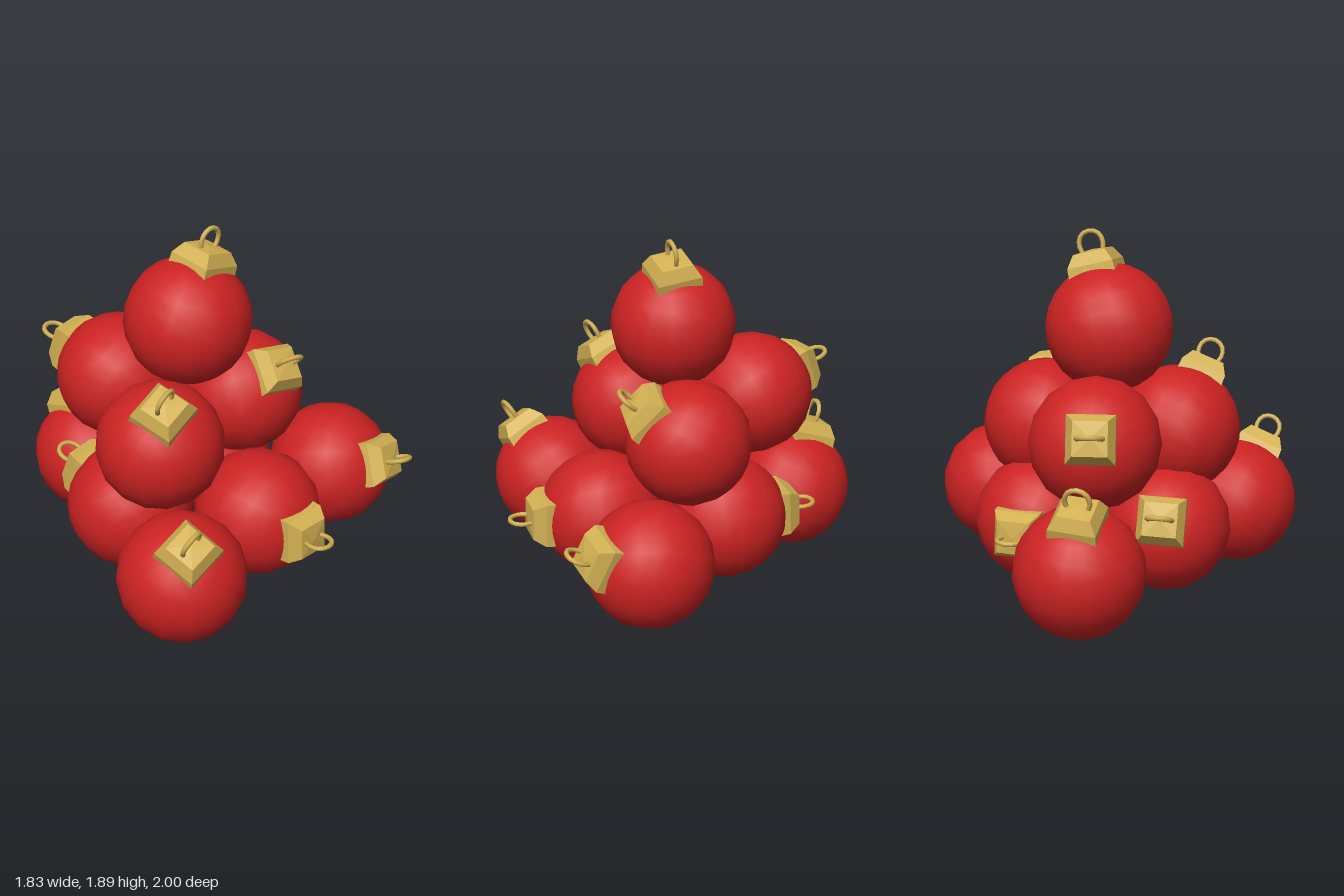
import * as THREE from 'three';

const red = new THREE.MeshStandardMaterial({ color: 0xcc2222 });
red.name = 'ornament red';
const gold = new THREE.MeshStandardMaterial({ color: 0xd2b052 });
gold.name = 'cap gold';

// Square cap: stacked square rings [half width, height], closed on top
function capGeometry() {
  const rings = [[0.124, 0.24], [0.12, 0.335], [0.085, 0.398]];
  const corners = [[1, 1], [1, -1], [-1, -1], [-1, 1]];
  const at = (r, c) => {
    const [h, y] = rings[r], [sx, sz] = corners[c % 4];
    return [sx * h, y, sz * h];
  };
  const pos = [];
  for (let r = 0; r < rings.length - 1; r++) {
    for (let c = 0; c < 4; c++) {
      const a = at(r, c), b = at(r, c + 1), d = at(r + 1, c), e = at(r + 1, c + 1);
      pos.push(...a, ...b, ...e, ...a, ...e, ...d);
    }
  }
  const top = [0, 0.408, 0], last = rings.length - 1;
  for (let c = 0; c < 4; c++) pos.push(...at(last, c), ...at(last, c + 1), ...top);
  const geo = new THREE.BufferGeometry();
  geo.setAttribute('position', new THREE.Float32BufferAttribute(pos, 3));
  geo.computeVertexNormals();
  return geo;
}

// Hanging loop: a thin arch standing on the cap
function loopGeometry() {
  const path = new THREE.CatmullRomCurve3([
    [-0.05, 0.38], [-0.063, 0.445], [-0.042, 0.488], [0, 0.503],
    [0.042, 0.488], [0.063, 0.445], [0.05, 0.38],
  ].map(([x, y]) => new THREE.Vector3(x, y, 0)));
  return new THREE.TubeGeometry(path, 12, 0.013, 6, false);
}

// Each ornament: centre, cap direction, sideways direction of the loop
const ORNAMENTS = [
  // top
  [[-0.205, 1.4, -0.005], [0.145, 0.5, 0.01], [0.93, -0.25, -0.37]],
  // middle layer
  [[-0.48, 0.855, 0.22], [-0.08, 0.43, 0.245], [0.85, 0.3, -0.42]],
  [[0.14, 0.865, -0.08], [0.14, 0.335, 0.36], [1, 0, 0]],
  [[-0.41, 0.925, -0.44], [-0.24, 0.165, -0.41], [0.86, 0, -0.5]],
  // bottom layer
  [[-0.585, 0.358, 0.67], [-0.075, 0.42, 0.28], [0.87, 0.3, -0.35]],
  [[-0.005, 0.405, 0.385], [0.15, 0.015, 0.475], [1, 0, -0.3]],
  [[0.588, 0.39, 0.125], [0.245, 0.175, 0.41], [0.87, -0.2, -0.42]],
  [[-0.56, 0.395, 0], [-0.21, 0.2, -0.42], [0.87, 0.05, -0.45]],
  [[0.05, 0.4, -0.275], [-0.14, 0.02, -0.49], [1, 0, -0.28]],
  [[-0.475, 0.333, -0.67], [-0.09, 0.485, -0.15], [0.92, 0.08, -0.33]],
];

export function createModel() {
  const model = new THREE.Group();
  model.name = 'ornamentPyramid';
  const parts = [
    ['ball', new THREE.SphereGeometry(0.332, 16, 12), red],
    ['cap', capGeometry(), gold],
    ['hangingLoop', loopGeometry(), gold],
  ];
  ORNAMENTS.forEach(([centre, direction, side], i) => {
    const ornament = new THREE.Group();
    ornament.name = `ornament${i + 1}`;
    for (const [name, geometry, material] of parts) {
      const mesh = new THREE.Mesh(geometry, material);
      mesh.name = name;
      ornament.add(mesh);
    }
    // local y follows the cap, local x spans the loop
    const y = new THREE.Vector3(...direction).normalize();
    const x = new THREE.Vector3(...side);
    x.addScaledVector(y, -x.dot(y)).normalize();
    const z = new THREE.Vector3().crossVectors(x, y);
    ornament.quaternion.setFromRotationMatrix(new THREE.Matrix4().makeBasis(x, y, z));
    ornament.position.set(...centre);
    model.add(ornament);
  });
  return model;
}
